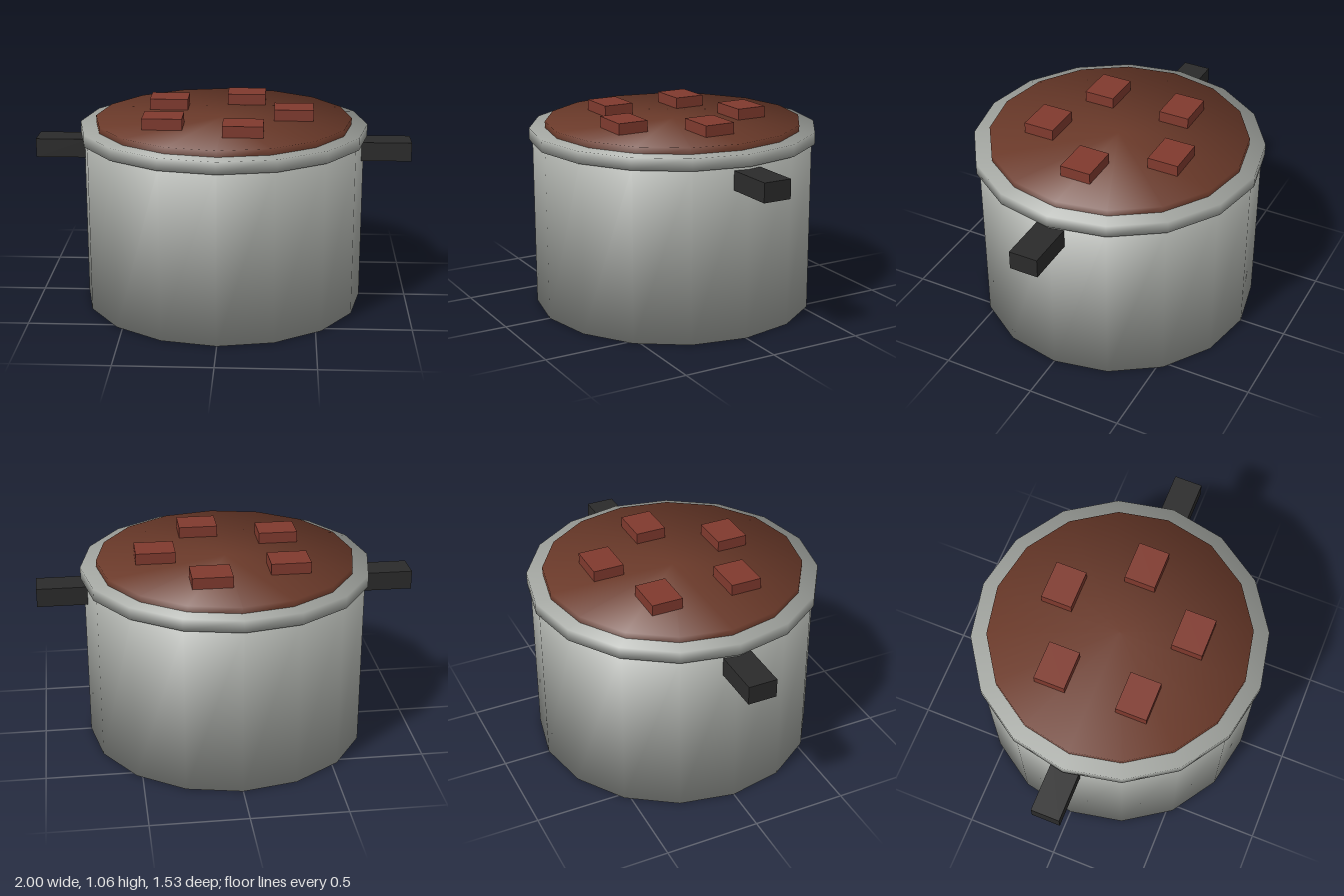
import * as THREE from 'three';

const material = (name, color) => {
  const m = new THREE.MeshStandardMaterial({ color });
  m.name = name;
  return m;
};

// Sixteen-sided drum whose normals blend softly from wall to caps
function softDrum(radius, bottom, top) {
  const height = top - bottom;
  const geo = new THREE.CylinderGeometry(radius, radius, height, 16);
  const pos = geo.attributes.position;
  const n = new THREE.Vector3();
  for (let i = 0; i < pos.count; i++) {
    n.set(pos.getX(i) / radius, Math.sign(pos.getY(i)), pos.getZ(i) / radius).normalize();
    geo.attributes.normal.setXYZ(i, n.x, n.y, n.z);
  }
  return geo.translate(0, bottom + height / 2, 0);
}

export function createModel() {
  const model = new THREE.Group();
  model.name = 'stewPot';

  const metal = material('pot metal', 0xa3a6a1);
  const handleBlack = material('handle black', 0x2b2b2b);
  const stewBrown = material('stew brown', 0x6b3a2a);
  const meatRed = material('meat red', 0x803a2e);

  const add = (name, geometry, mat, x = 0, y = 0, z = 0) => {
    const mesh = new THREE.Mesh(geometry, mat);
    mesh.name = name;
    mesh.position.set(x, y, z);
    model.add(mesh);
  };

  // Pot, rim and stew surface
  add('potBody', softDrum(0.75, 0, 0.92), metal);
  add('potRim', softDrum(0.767, 0.903, 0.967), metal);
  add('stew', softDrum(0.683, 0.93, 1.0), stewBrown);

  // Side handles
  const handle = new THREE.BoxGeometry(0.28, 0.1, 0.152);
  add('leftHandle', handle, handleBlack, 0.86, 0.836, 0);
  add('rightHandle', handle, handleBlack, -0.86, 0.836, 0);

  // Ring of floating meat chunks
  const chunk = new THREE.BoxGeometry(0.208, 0.09, 0.166);
  for (let i = 0; i < 5; i++) {
    const a = (i / 5) * Math.PI * 2;
    add('meatChunk' + (i + 1), chunk, meatRed, 0.375 * Math.cos(a), 1.014, 0.375 * Math.sin(a));
  }
  return model;
}
